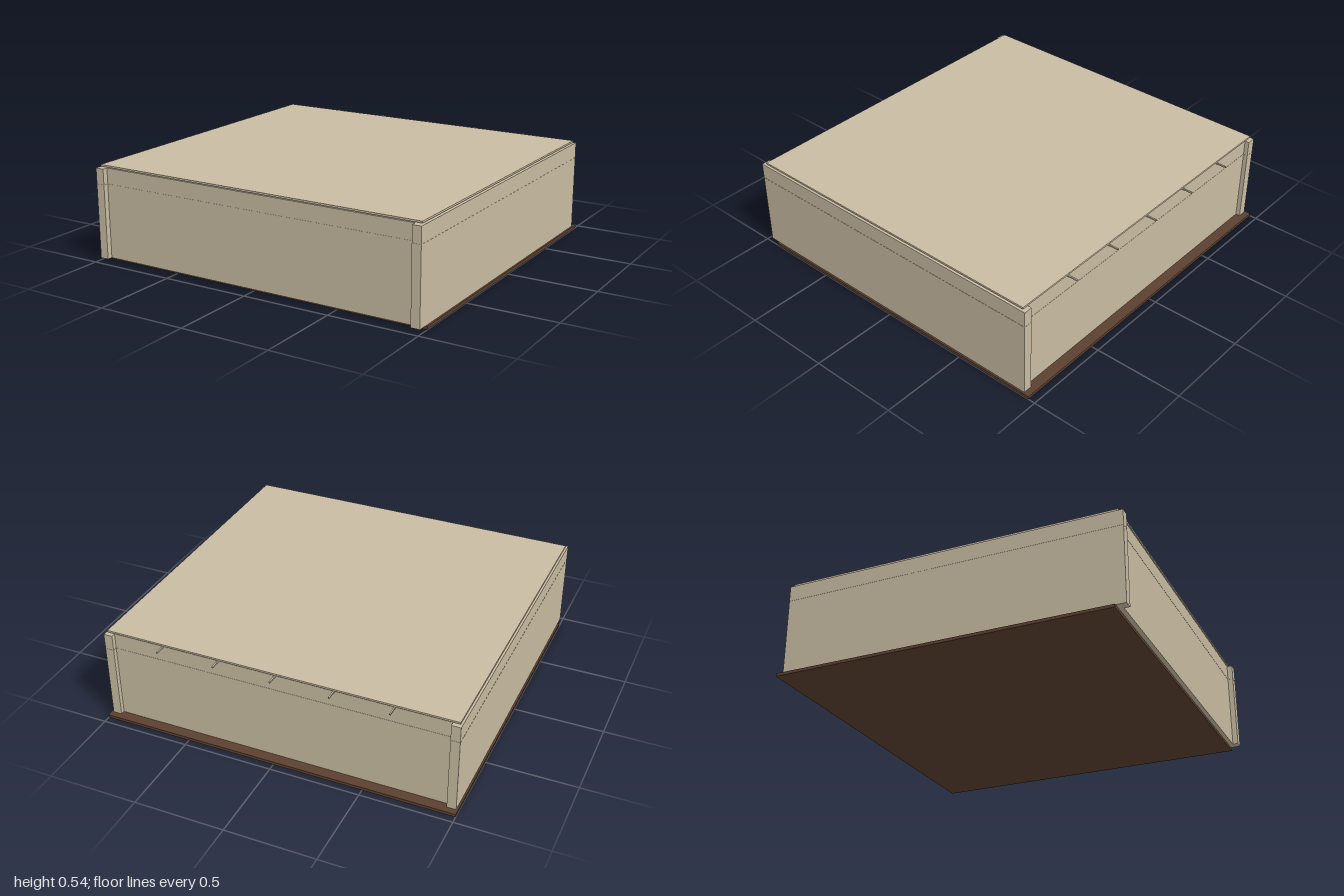
import * as THREE from 'three';

const plaster = new THREE.MeshStandardMaterial({ color: 0xc8bca2 });
const wood = new THREE.MeshStandardMaterial({ color: 0x5c4030 });

// Box given by its extents along each axis
function block(name, [x0, x1], [y0, y1], [z0, z1], material = plaster) {
  const mesh = new THREE.Mesh(new THREE.BoxGeometry(x1 - x0, y1 - y0, z1 - z0), material);
  mesh.position.set((x0 + x1) / 2, (y0 + y1) / 2, (z0 + z1) / 2);
  mesh.name = name;
  return mesh;
}

export function createModel() {
  const model = new THREE.Group();
  model.name = 'flatRoofedBox';

  // Floor plate, set back towards the rear
  model.add(block('floor', [-1, 1], [0, 0.017], [-0.96, 0.91], wood));

  // Hollow walls in two courses; the side walls run past the front and back walls
  const courses = [['lowerWall', [0.017, 0.436]], ['upperWall', [0.438, 0.525]]];
  for (const [name, y] of courses) {
    const walls = new THREE.Group();
    walls.name = name;
    walls.add(
      block(name + 'Left', [0.94, 0.99], y, [-0.925, 0.965]),
      block(name + 'Right', [-0.99, -0.94], y, [-0.925, 0.965]),
      block(name + 'Front', [-0.94, 0.94], y, [0.885, 0.935]),
      block(name + 'Back', [-0.94, 0.94], y, [-0.9, -0.85]),
    );
    model.add(walls);
  }
  // Thin joint between the courses
  for (const s of [-1, 1]) {
    model.add(block('sideJoint', [s * 0.965 - 0.024, s * 0.965 + 0.024], [0.436, 0.438], [-0.924, 0.964]));
    model.add(block('endJoint', [-0.94, 0.94], [0.436, 0.438], s > 0 ? [0.886, 0.934] : [-0.899, -0.851]));
  }

  // Thin roof battens: five lengthwise with tails at the back, five crosswise
  for (let i = -2; i <= 2; i++) {
    const x = i * 0.322;
    const z = -0.02 + i * 0.324;
    model.add(block('rafter', [x - 0.004, x + 0.004], [0.522, 0.53], [-0.964, 0.93]));
    model.add(block('crossBatten', [-0.97, 0.97], [0.523, 0.53], [z - 0.004, z + 0.004]));
  }

  // Flat roof slab
  model.add(block('roof', [-0.98, 0.98], [0.53, 0.54], [-0.905, 0.938]));
  return model;
}
